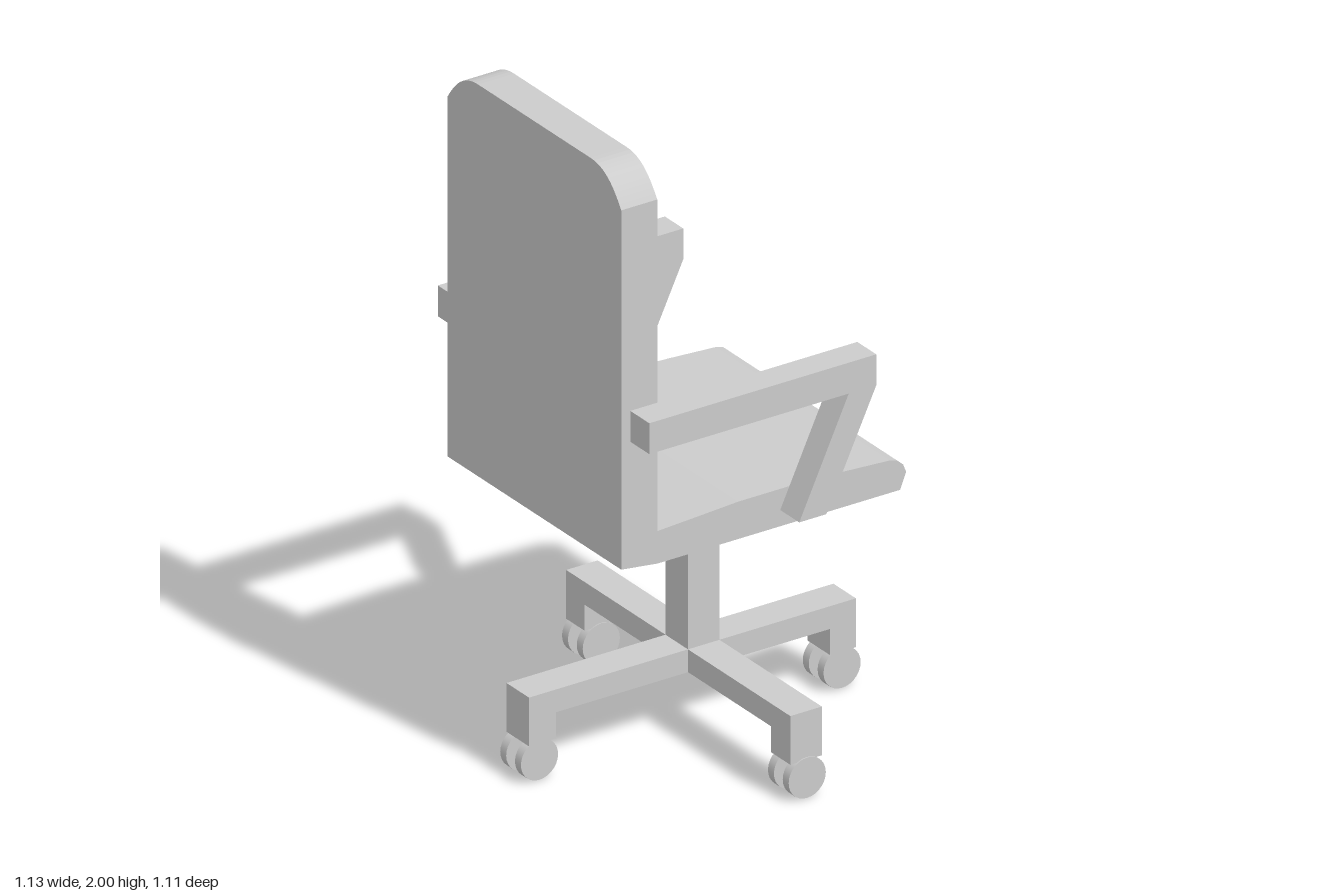
import * as THREE from 'three';

const material = new THREE.MeshStandardMaterial({ color: 0xcccccc, side: THREE.DoubleSide });

export function createModel() {
  const chair = new THREE.Group();
  chair.name = 'officeChair';

  function add(geometry, name, parent = chair) {
    const mesh = new THREE.Mesh(geometry, material);
    mesh.name = name;
    parent.add(mesh);
    return mesh;
  }

  // Box given by its lower and upper limits on each axis
  function box(name, [x0, x1], [y0, y1], [z0, z1], parent) {
    const mesh = add(new THREE.BoxGeometry(x1 - x0, y1 - y0, z1 - z0), name, parent);
    mesh.position.set((x0 + x1) / 2, (y0 + y1) / 2, (z0 + z1) / 2);
  }

  // Side profile (x, y) extruded from z0 to z1
  function profile(name, shape, z0, z1) {
    const geometry = new THREE.ExtrudeGeometry(shape, { depth: z1 - z0, bevelEnabled: false, curveSegments: 10 });
    add(geometry.translate(0, 0, z0), name);
  }
  const polygon = (points) => new THREE.Shape(points.map(([x, y]) => new THREE.Vector2(x, y)));

  // Seat cushion: slightly crowned top and rounded front lip
  profile('seat', polygon([
    [-0.37, 0.78], [0.44, 0.78], [0.46, 0.83], [0.45, 0.855], [0.43, 0.873], [0.405, 0.88],
    [0.25, 0.889], [0.1, 0.895], [-0.1, 0.895], [-0.24, 0.887], [-0.37, 0.88],
  ]), -0.43, 0.42);

  // Backrest: outline across the width with rounded top corners
  const back = new THREE.Shape();
  back.moveTo(-0.42, 0.78);
  back.lineTo(0.43, 0.78);
  back.lineTo(0.43, 1.9);
  back.bezierCurveTo(0.39, 1.96, 0.35, 2, 0.28, 2);
  back.lineTo(-0.27, 2);
  back.bezierCurveTo(-0.34, 2, -0.38, 1.96, -0.42, 1.9);
  back.closePath();
  const backGeometry = new THREE.ExtrudeGeometry(back, { depth: 0.12, bevelEnabled: false, curveSegments: 12 });
  backGeometry.rotateY(Math.PI / 2).translate(-0.49, 0, 0);
  // Raise the rear lower edge a little
  const p = backGeometry.attributes.position;
  for (let i = 0; i < p.count; i++) {
    if (p.getY(i) < 0.79 && p.getX(i) < -0.43) p.setY(i, 0.795);
  }
  backGeometry.computeVertexNormals();
  add(backGeometry, 'backrest');

  // Armrests: horizontal bar with a slanted support
  const arm = [
    [-0.46, 1.18], [0.205, 1.18], [0.04, 0.83], [0.13, 0.83], [0.297, 1.18], [0.297, 1.275], [-0.46, 1.275],
  ];
  profile('leftArmrest', polygon(arm), -0.52, -0.43);
  profile('rightArmrest', polygon(arm), 0.42, 0.513);

  // Central post and cross base
  const barX = [-0.015, 0.09], barZ = [-0.06, 0.05], barY = [0.195, 0.265];
  box('post', barX, [0.195, 0.785], barZ);
  box('baseBarAcross', [-0.545, 0.545], barY, barZ);
  box('baseBarAlong', barX, barY, [-0.545, 0.55]);

  // Casters: drop leg, axle and twin wheels
  const casters = [
    { x: [-0.545, -0.455], z: barZ, cx: -0.507, cz: -0.005 },
    { x: [0.458, 0.545], z: barZ, cx: 0.502, cz: -0.005 },
    { x: barX, z: [-0.545, -0.455], cx: 0.039, cz: -0.503 },
    { x: barX, z: [0.455, 0.55], cx: 0.039, cz: 0.503 },
  ];
  for (const { x, z, cx, cz } of casters) {
    const caster = new THREE.Group();
    caster.name = 'caster';
    chair.add(caster);
    box('casterLeg', x, [0.115, 0.2], z, caster);
    const axle = add(new THREE.CylinderGeometry(0.014, 0.014, 0.08, 12), 'axle', caster);
    axle.rotation.x = Math.PI / 2;
    axle.position.set(cx, 0.063, cz);
    for (const side of [-1, 1]) {
      const wheel = add(new THREE.CylinderGeometry(0.062, 0.062, 0.029, 28), 'wheel', caster);
      wheel.rotation.x = Math.PI / 2;
      wheel.position.set(cx, 0.062, cz + side * 0.036);
    }
  }
  return chair;
}
